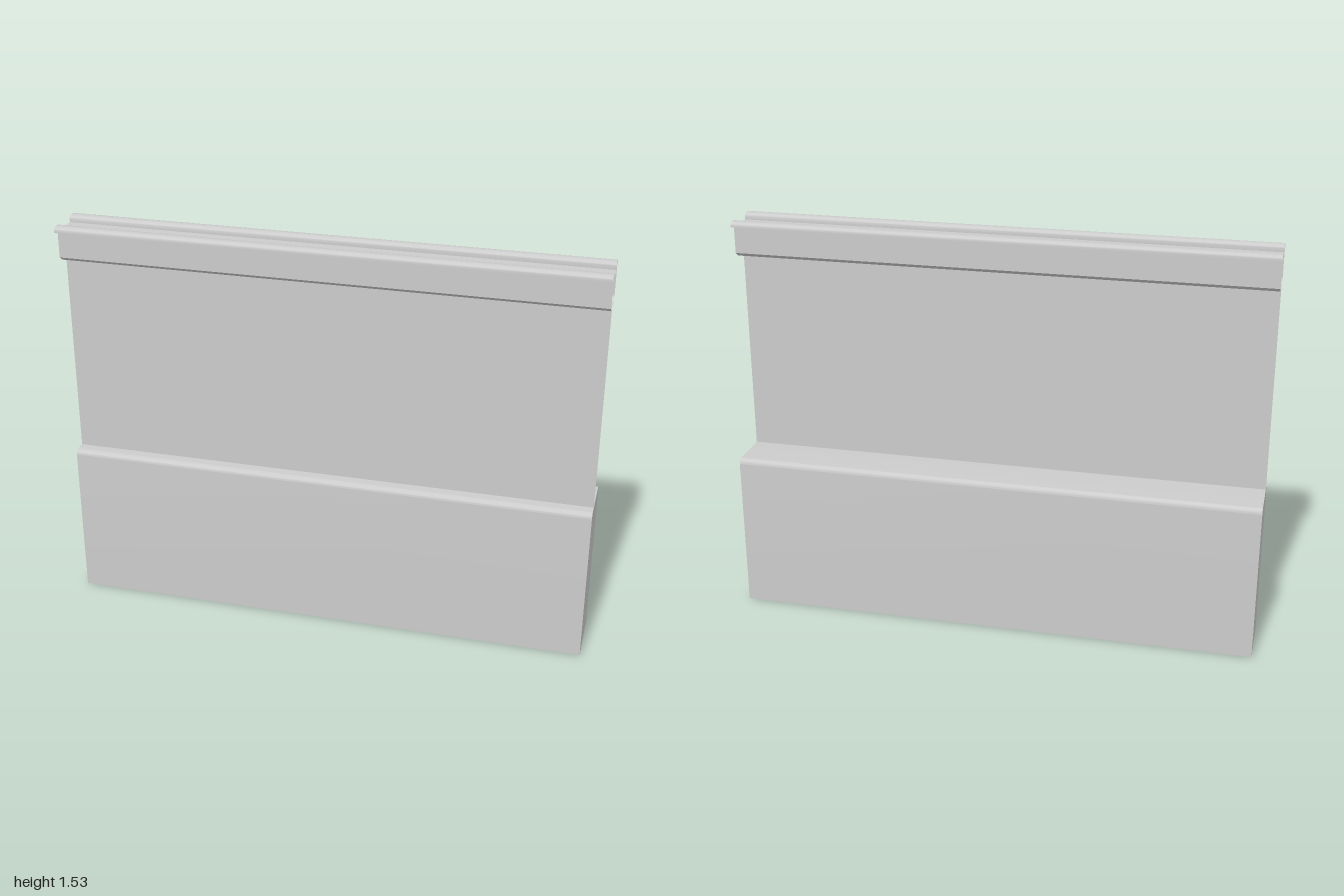
import * as THREE from 'three';
import { toCreasedNormals } from 'three/addons/utils/BufferGeometryUtils.js';

const HALF = 1; // half of the length along x
const CREASE = 0.6;

// Sweeps a [z, y] polyline along x into an open-ended sheet
function sheet(points) {
  const pos = [];
  for (let i = 0; i < points.length - 1; i++) {
    const [z0, y0] = points[i];
    const [z1, y1] = points[i + 1];
    const a = [-HALF, y0, z0], b = [HALF, y0, z0];
    const c = [HALF, y1, z1], d = [-HALF, y1, z1];
    pos.push(...a, ...b, ...c, ...a, ...c, ...d);
  }
  const geo = new THREE.BufferGeometry();
  geo.setAttribute('position', new THREE.Float32BufferAttribute(pos, 3));
  return toCreasedNormals(geo, CREASE);
}

export function createModel() {
  const group = new THREE.Group();
  const solid = new THREE.MeshStandardMaterial({ color: 0xcccccc });
  const thin = new THREE.MeshStandardMaterial({ color: 0xcccccc, side: THREE.DoubleSide });
  const add = (name, geo, mat) => {
    const mesh = new THREE.Mesh(geo, mat);
    mesh.name = name;
    group.add(mesh);
  };

  // Heavy base with rounded upper edges (shape x runs along -z)
  const front = -0.1, back = 0.135, top = 0.61, r = 0.02;
  const outline = new THREE.Shape();
  outline.moveTo(front, 0);
  outline.lineTo(back, 0);
  outline.lineTo(back, top - r);
  outline.absarc(back - r, top - r, r, 0, Math.PI / 2, false);
  outline.lineTo(front + r, top);
  outline.absarc(front + r, top - r, r, Math.PI / 2, Math.PI, false);
  outline.closePath();
  const base = new THREE.ExtrudeGeometry(outline, { depth: 2 * HALF, bevelEnabled: false, curveSegments: 6 });
  base.translate(0, 0, -HALF);
  base.rotateY(Math.PI / 2);
  add('base', toCreasedNormals(base, CREASE), solid);

  // Thin upright panel
  const panel = new THREE.PlaneGeometry(2 * HALF, 1.39 - top);
  panel.translate(0, (1.39 + top) / 2, 0.045);
  add('panel', panel, thin);

  // Half of the hollow top rail: chamfered floor, wall, rounded lip, recessed deck
  const half = [[0, 1.39], [0.045, 1.39], [0.065, 1.405], [0.065, 1.51], [0.095, 1.51], [0.095, 1.519]];
  for (let i = 1; i < 8; i++) {
    const a = (i / 8) * Math.PI;
    half.push([0.07 + 0.025 * Math.cos(a), 1.519 + 0.011 * Math.sin(a)]);
  }
  half.push([0.045, 1.519], [0.045, 1.505], [0, 1.505]);

  // Mirror the half about the rail's centre line
  const centre = 0.035;
  const profile = [
    ...half.map(([z, y]) => [centre + z, y]),
    ...half.slice(0, -1).reverse().map(([z, y]) => [centre - z, y]),
  ];
  add('topRail', sheet(profile), thin);

  return group;
}
